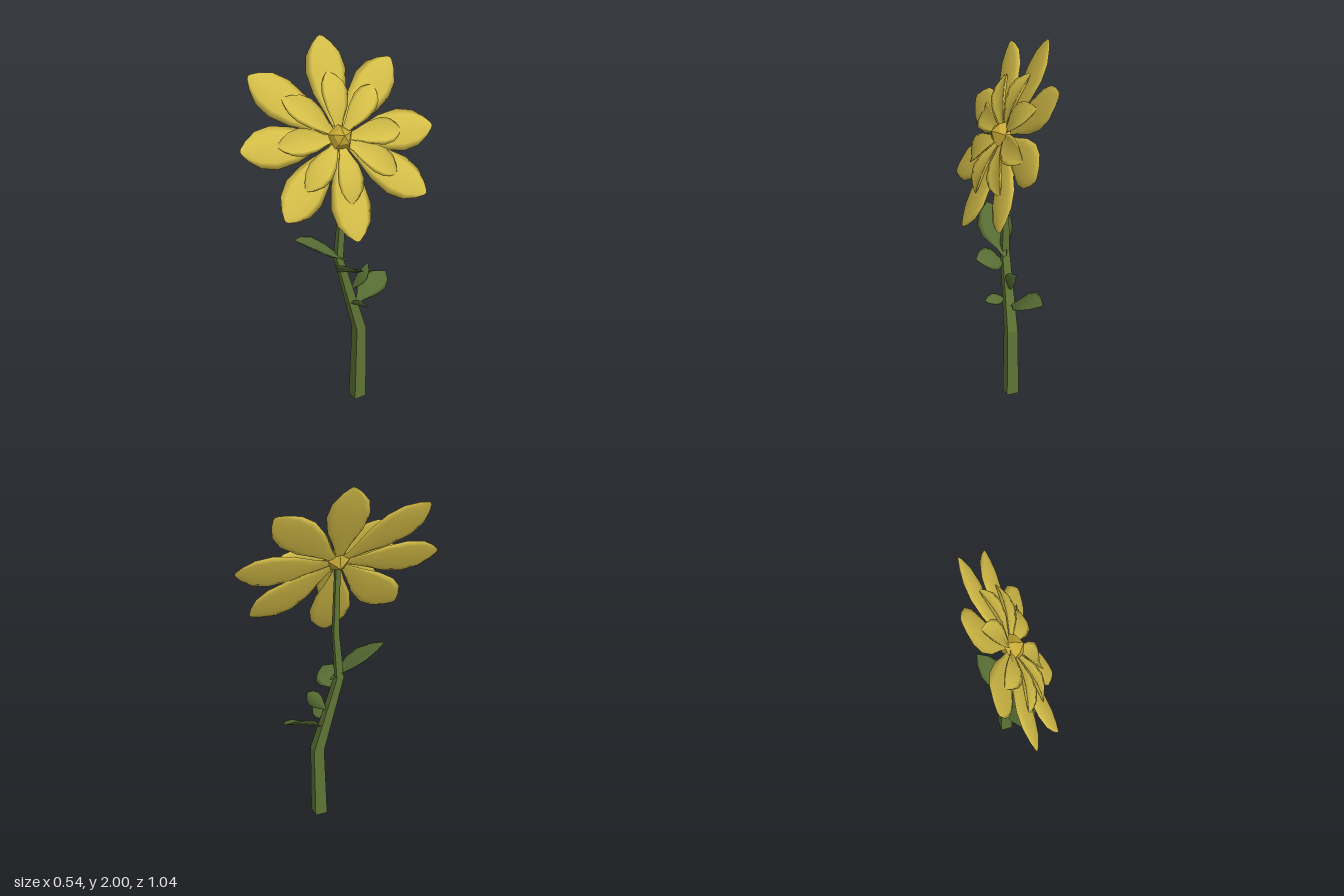
import * as THREE from 'three';

const petalYellow = new THREE.MeshStandardMaterial({ name: 'petalYellow', color: 0xd6bf48 });
const centreYellow = new THREE.MeshStandardMaterial({ name: 'centreYellow', color: 0xc6a834, flatShading: true });
const stemGreen = new THREE.MeshStandardMaterial({ name: 'stemGreen', color: 0x5f7435, flatShading: true });
const leafGreen = new THREE.MeshStandardMaterial({ name: 'leafGreen', color: 0x566c33 });

const V = (x, y, z) => new THREE.Vector3(x, y, z);

// Skin closed rings of equal point count
function skin(rings) {
  const n = rings[0].length, pos = rings.flat().flatMap(p => [p.x, p.y, p.z]), index = [];
  for (let r = 0; r < rings.length - 1; r++) {
    for (let c = 0; c < n; c++) {
      const a = r * n + c, b = r * n + (c + 1) % n;
      index.push(a, b, b + n, a, b + n, a + n);
    }
  }
  const g = new THREE.BufferGeometry();
  g.setAttribute('position', new THREE.Float32BufferAttribute(pos, 3));
  g.setIndex(index);
  g.computeVertexNormals();
  return g;
}

// Thin rounded blade along +Y; profile holds [t, half width share]
function blade({ length, width, thickness, cup, lift, arch }, profile) {
  return skin(profile.map(([t, w]) => [0, 1, 2, 3, 4, 5, 6, 7].map(k => {
    const a = -k * Math.PI / 4, s = Math.cos(a);
    return V(
      s * w * width / 2,
      t * length,
      Math.sin(a) * w * thickness / 2 + s * s * w * cup + lift * t + arch * Math.sin(Math.PI * t)
    );
  })));
}

const petalProfile = [[0.06, 0.12], [0.25, 0.42], [0.45, 0.82], [0.66, 1], [0.82, 0.84], [0.93, 0.46], [0.99, 0.14], [1, 0]];
const leafProfile = [[0, 0], [0.02, 0.12], [0.15, 0.3], [0.4, 0.9], [0.6, 1], [0.82, 0.66], [0.98, 0.1], [1, 0]];

// Square stem through tapering, bent cross-sections
function makeStem() {
  const sections = [
    [0.032, 0.005, -0.11, 0.048], [0.036, 0.42, -0.116, 0.041],
    [0.0, 0.85, 0.002, 0.028], [0.008, 1.12, -0.015, 0.022], [0.008, 1.5, -0.002, 0.017]
  ];
  const rings = sections.map(([x, y, z, r]) => [0, 1, 2, 3].map(k => {
    const a = 0.2 + Math.PI / 4 - k * Math.PI / 2;
    return V(x + r * Math.cos(a), y, z + r * Math.sin(a));
  }));
  rings[0].forEach((p, k) => { p.y = k === 0 ? 0 : 0.008; });
  // Closed foot and top
  const flat = ring => ring.map(() => ring[0].clone().add(ring[2]).multiplyScalar(0.5));
  const stem = new THREE.Mesh(skin([flat(rings[0]), ...rings, flat(rings[4])]), stemGreen);
  stem.name = 'stem';
  return stem;
}

// Turn an object so its Y follows along and its X leans to across
function orient(object, along, across) {
  const y = along.clone().normalize();
  const x = across.clone().addScaledVector(y, -across.dot(y)).normalize();
  object.quaternion.setFromRotationMatrix(new THREE.Matrix4().makeBasis(x, y, x.clone().cross(y)));
}

// Leaf from base to tip, spread along the across direction
function makeLeaf(name, base, tip, across, width, cup, arch) {
  const along = tip.clone().sub(base);
  const size = { length: along.length(), width, thickness: 0.022, cup, lift: 0, arch };
  const leaf = new THREE.Mesh(blade(size, leafProfile), leafGreen);
  orient(leaf, along, across);
  leaf.position.copy(base);
  leaf.name = name;
  return leaf;
}

function makeFlower() {
  const flower = new THREE.Group();
  flower.name = 'flower';

  // Two rings of eight petals, each with its angle in degrees and length factor
  const spread = [[0, 1], [49, 1.05], [90, 1], [136, 0.98], [180, 1], [231, 1.03], [270, 1], [316, 0.99]];
  const rings = [
    ['outerPetal', { length: 0.54, width: 0.225, thickness: 0.032, cup: -0.006, lift: 0, arch: -0.004 }],
    ['innerPetal', { length: 0.345, width: 0.145, thickness: 0.024, cup: 0.028, lift: 0.01, arch: 0.022 }]
  ];
  for (const [name, size] of rings) {
    const geometry = blade(size, petalProfile);
    spread.forEach(([angle, stretch], k) => {
      const petal = new THREE.Mesh(geometry, petalYellow);
      petal.name = name + (k + 1);
      petal.rotation.z = THREE.MathUtils.degToRad(angle);
      petal.scale.y = stretch;
      flower.add(petal);
    });
  }

  // Faceted centre: pentagonal cap with a short cone behind
  const cap = new THREE.CylinderGeometry(0.05, 0.082, 0.05, 5).rotateX(Math.PI / 2).rotateZ(Math.PI).translate(0, 0, 0.025);
  const tip = new THREE.ConeGeometry(0.05, 0.025, 5).rotateX(Math.PI / 2).rotateZ(Math.PI).translate(0, 0, 0.0625);
  const back = new THREE.ConeGeometry(0.065, 0.05, 5).rotateX(-Math.PI / 2).translate(0, 0, -0.025);
  [['centreCap', cap], ['centreTip', tip], ['centreBack', back]].forEach(([name, g]) => {
    const mesh = new THREE.Mesh(g, centreYellow);
    mesh.name = name;
    flower.add(mesh);
  });

  // Tilt the bloom sideways, up and a little forward
  orient(flower, V(-0.22, 0.485, -0.06), V(0.15, 0, -0.51));
  flower.position.set(0.004, 1.515, 0);
  return flower;
}

export function createModel() {
  const model = new THREE.Group();
  model.name = 'flowerPlant';
  model.add(
    makeStem(),
    makeFlower(),
    makeLeaf('upperFrontLeaf', V(0.025, 0.83, -0.04), V(-0.05, 1.005, 0.26), V(-0.16, 0.05, 0), 0.19, 0.015, 0.008),
    makeLeaf('upperSideLeaf', V(0, 0.77, 0), V(0.175, 0.835, 0.01), V(0, 0.075, 0.145), 0.16, 0.01, 0.008),
    makeLeaf('middleLeaf', V(0.02, 0.65, -0.06), V(0.04, 0.79, -0.175), V(0, -0.05, -0.05), 0.085, 0.012, 0.01),
    makeLeaf('lowerSideLeaf', V(0.03, 0.58, -0.055), V(0.165, 0.61, -0.06), V(0, 0.04, 0.05), 0.07, 0.008, 0.006),
    makeLeaf('lowerBackLeaf', V(0.025, 0.56, -0.1), V(-0.01, 0.675, -0.35), V(0.13, -0.06, 0), 0.155, 0.015, 0.015)
  );
  return model;
}
